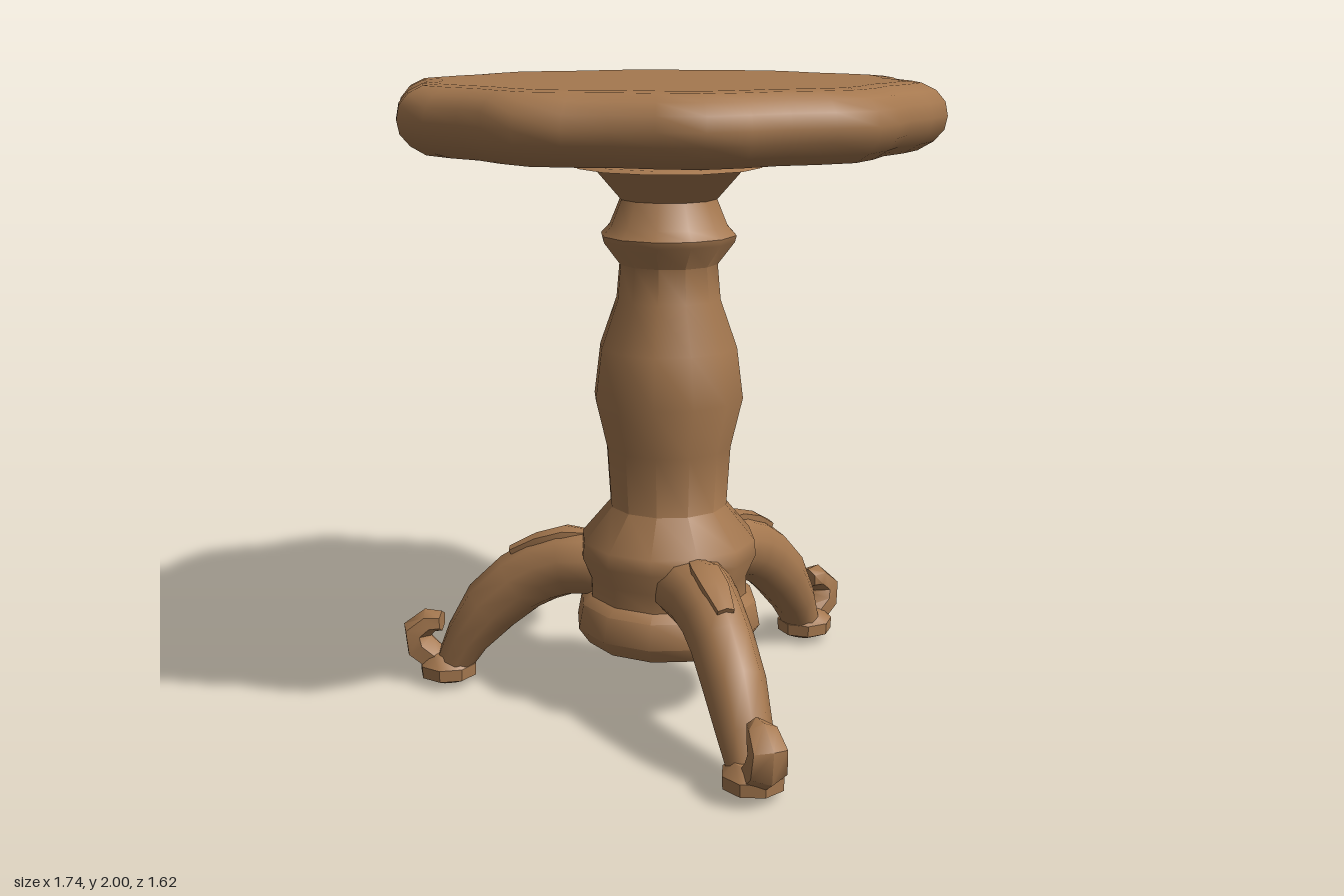
import * as THREE from 'three';
import { mergeVertices, toCreasedNormals } from 'three/addons/utils/BufferGeometryUtils.js';

const wood = new THREE.MeshStandardMaterial({ color: 0xa5784f });
wood.name = 'brown wood';

function part(name, geometry) {
  const mesh = new THREE.Mesh(geometry, wood);
  mesh.name = name;
  return mesh;
}

function lathe(profile, segments) {
  return new THREE.LatheGeometry(profile.map(([r, y]) => new THREE.Vector2(r, y)), segments);
}

// Sweeps an oval along a path in the xy plane; sections are [x, y, half thickness, half width]
function sweep(sections, sides) {
  const pos = [], index = [], last = sections.length - 1;
  sections.forEach(([x, y, a, w], i) => {
    const p = sections[Math.max(i - 1, 0)], q = sections[Math.min(i + 1, last)];
    const len = Math.hypot(q[0] - p[0], q[1] - p[1]);
    const nx = -(q[1] - p[1]) / len, ny = (q[0] - p[0]) / len;
    for (let j = 0; j < sides; j++) {
      const t = (j / sides) * Math.PI * 2, c = Math.cos(t) * a;
      pos.push(x + nx * c, y + ny * c, Math.sin(t) * w);
    }
  });
  for (let i = 0; i < last; i++) {
    for (let j = 0; j < sides; j++) {
      const k = (j + 1) % sides, a = i * sides, b = a + sides;
      index.push(a + j, a + k, b + k, a + j, b + k, b + j);
    }
  }
  // End caps
  for (const [i, flip] of [[0, true], [last, false]]) {
    const centre = pos.length / 3;
    pos.push(sections[i][0], sections[i][1], 0);
    for (let j = 0; j < sides; j++) {
      const a = i * sides + j, b = i * sides + (j + 1) % sides;
      index.push(centre, flip ? b : a, flip ? a : b);
    }
  }
  const g = new THREE.BufferGeometry();
  g.setAttribute('position', new THREE.Float32BufferAttribute(pos, 3));
  g.setIndex(index);
  return toCreasedNormals(g, 0.95);
}

// Round top with ten shallow scallops and a rolled edge
function makeTop() {
  let g = lathe([[0, 1.797], [0.68, 1.797], [0.735, 1.798], [0.78, 1.825], [0.81, 1.86], [0.818, 1.9],
    [0.81, 1.942], [0.783, 1.975], [0.74, 1.996], [0.69, 2], [0, 2]], 40);
  const p = g.attributes.position;
  for (let i = 0; i < p.count; i++) {
    const x = p.getX(i), z = p.getZ(i);
    const s = 1 + 0.034 * Math.cos(10 * Math.atan2(z, x));
    p.setX(i, x * s);
    p.setZ(i, z * s);
  }
  g.deleteAttribute('uv');
  g.deleteAttribute('normal');
  g = mergeVertices(g);
  g.computeVertexNormals();
  const top = part('tableTop', g);
  top.position.x = 0.027;
  return top;
}

// One leg along +x with its knee plate, foot pad and curled toe
function makeLeg() {
  const leg = new THREE.Group();
  leg.name = 'leg';
  leg.add(part('legCurve', sweep([
    [0.17, 0.455, 0.105, 0.125], [0.25, 0.455, 0.107, 0.125], [0.34, 0.445, 0.108, 0.11],
    [0.42, 0.415, 0.107, 0.1], [0.495, 0.37, 0.104, 0.097], [0.595, 0.28, 0.098, 0.095],
    [0.68, 0.165, 0.075, 0.085], [0.73, 0.07, 0.06, 0.07]], 10)));
  leg.add(part('kneePlate', sweep([
    [0.27, 0.55, 0.012, 0.03], [0.34, 0.55, 0.02, 0.05],
    [0.43, 0.522, 0.02, 0.048], [0.52, 0.474, 0.018, 0.03]], 6)));
  const pad = part('footPad', toCreasedNormals(lathe(
    [[0, 0], [0.045, 0.008], [0.095, 0.03], [0.097, 0.07], [0.06, 0.105], [0, 0.115]], 8), 0.6));
  pad.position.x = 0.75;
  leg.add(pad);
  leg.add(part('curledToe', sweep([
    [0.78, 0.07, 0.05, 0.055], [0.845, 0.12, 0.055, 0.065], [0.855, 0.175, 0.05, 0.06],
    [0.81, 0.212, 0.042, 0.05], [0.768, 0.212, 0.035, 0.035]], 6)));
  return leg;
}

export function createModel() {
  const model = new THREE.Group();
  model.name = 'pedestalTable';
  model.add(makeTop());

  const base = new THREE.Group();
  base.name = 'pedestal';
  base.position.x = 0.035;

  // Turned column with base ring, vase, collar and flange
  base.add(part('column', toCreasedNormals(lathe([
    [0, 0.225], [0.265, 0.225], [0.3, 0.275], [0.285, 0.355], [0.255, 0.38], [0.255, 0.44],
    [0.285, 0.51], [0.28, 0.56], [0.188, 0.67], [0.2, 0.86], [0.238, 1.02], [0.218, 1.18],
    [0.165, 1.33], [0.155, 1.44], [0.208, 1.51], [0.213, 1.53], [0.185, 1.56], [0.152, 1.64],
    [0.235, 1.735], [0.29, 1.738], [0.27, 1.748], [0.215, 1.752], [0.04, 1.8], [0, 1.8]], 12), 0.8)));

  for (const angle of [Math.PI, Math.PI / 3, -Math.PI / 3]) {
    const leg = makeLeg();
    leg.rotation.y = angle;
    base.add(leg);
  }
  model.add(base);
  return model;
}
